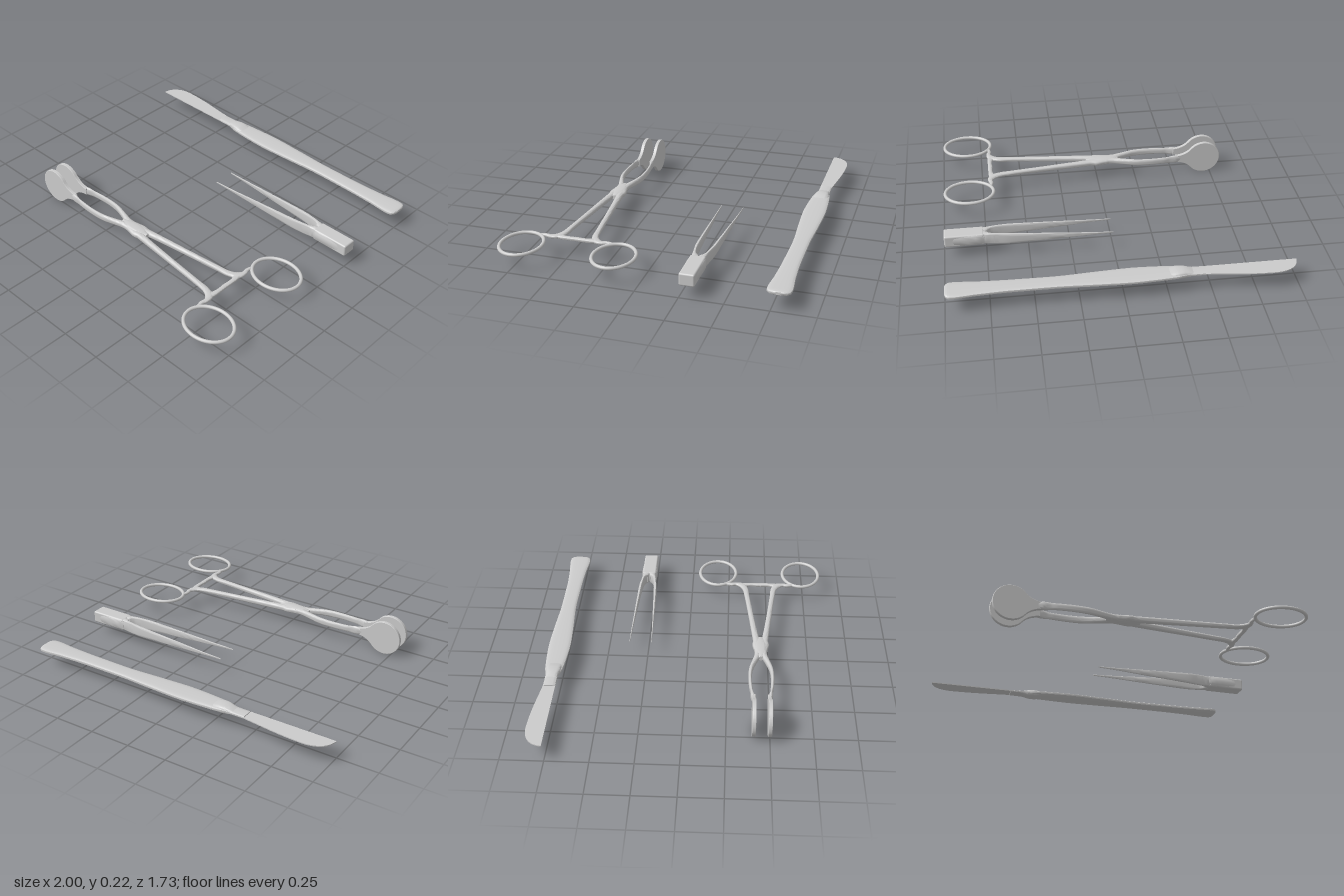
import * as THREE from 'three';
import { toCreasedNormals } from 'three/addons/utils/BufferGeometryUtils.js';
import { RoundedBoxGeometry } from 'three/addons/geometries/RoundedBoxGeometry.js';

const MID = 0.11; // height of the common centre plane
const metal = new THREE.MeshStandardMaterial({ color: 0xcccccc, side: THREE.DoubleSide });

function add(parent, name, geometry) {
  const mesh = new THREE.Mesh(geometry, metal);
  mesh.name = name;
  parent.add(mesh);
  return mesh;
}

// Smooth bar through sections [x, z, half width, half height]; power < 1 makes it boxier
function loft(sections, power = 0.8, steps = 6, sides = 20) {
  const path = new THREE.CatmullRomCurve3(sections.map(s => new THREE.Vector3(s[0], 0, s[1])));
  const size = new THREE.CatmullRomCurve3(sections.map(s => new THREE.Vector3(s[2], s[3], 0)));
  const n = (sections.length - 1) * steps;
  const pos = [], index = [];
  const bend = v => Math.sign(v) * Math.abs(v) ** power;
  for (let i = 0; i <= n; i++) {
    const c = path.getPoint(i / n), t = path.getTangent(i / n), s = size.getPoint(i / n);
    for (let j = 0; j < sides; j++) {
      const a = (j / sides) * Math.PI * 2;
      const u = bend(Math.cos(a)) * s.x, v = bend(Math.sin(a)) * s.y;
      pos.push(c.x - t.z * u, MID + v, c.z + t.x * u);
    }
  }
  const first = pos.length / 3, end = n * sides;
  for (const k of [0, 1]) {
    const c = path.getPoint(k);
    pos.push(c.x, MID, c.z);
  }
  for (let j = 0; j < sides; j++) {
    const k = (j + 1) % sides;
    for (let i = 0; i < n; i++) {
      const a = i * sides + j, b = i * sides + k;
      index.push(a, a + sides, b, b, a + sides, b + sides);
    }
    index.push(first, j, k, first + 1, end + k, end + j);
  }
  const g = new THREE.BufferGeometry();
  g.setAttribute('position', new THREE.Float32BufferAttribute(pos, 3));
  g.setIndex(index);
  return toCreasedNormals(g, 0.7);
}

function createScalpel() {
  const scalpel = new THREE.Group();
  scalpel.name = 'scalpel';

  // Thin blade with a curved belly and a straight back
  const s = new THREE.Shape();
  s.moveTo(-0.36, 0.757);
  s.lineTo(-0.36, 0.828);
  s.lineTo(-0.47, 0.83);
  s.bezierCurveTo(-0.6, 0.845, -0.72, 0.866, -0.86, 0.866);
  s.bezierCurveTo(-0.96, 0.862, -0.995, 0.81, -1, 0.757);
  const blade = new THREE.ExtrudeGeometry(s, { depth: 0.006, bevelEnabled: false, curveSegments: 16 });
  blade.rotateX(-Math.PI / 2).translate(0, MID - 0.003, 0);
  add(scalpel, 'blade', blade);

  // Flat handle that widens at the grip and the butt
  add(scalpel, 'handle', loft([
    [-0.47, -0.793, 0.036, 0.009], [-0.37, -0.793, 0.037, 0.011], [-0.3, -0.79, 0.053, 0.013],
    [-0.18, -0.789, 0.063, 0.013], [-0.05, -0.789, 0.068, 0.013], [0.15, -0.79, 0.06, 0.013],
    [0.4, -0.791, 0.048, 0.013], [0.65, -0.789, 0.05, 0.013], [0.82, -0.789, 0.058, 0.013],
    [0.94, -0.789, 0.069, 0.013], [0.975, -0.789, 0.066, 0.013], [0.992, -0.789, 0.05, 0.011],
    [0.997, -0.789, 0.03, 0.008]], 0.6));

  // Raised collar behind the blade
  add(scalpel, 'collar', loft([
    [-0.4, -0.792, 0.034, 0.008], [-0.36, -0.792, 0.037, 0.019], [-0.33, -0.79, 0.043, 0.023],
    [-0.3, -0.789, 0.046, 0.022], [-0.25, -0.789, 0.046, 0.011]], 0.6));
  return scalpel;
}

function createTweezers() {
  const tweezers = new THREE.Group();
  tweezers.name = 'tweezers';
  const centre = -0.293;
  // [x, outer offset, inner offset, half height]
  const profile = [
    [0, 0.069, 0.066, 0.004], [0.12, 0.068, 0.062, 0.008], [0.3, 0.065, 0.054, 0.018],
    [0.48, 0.062, 0.046, 0.027], [0.62, 0.058, 0.039, 0.034], [0.68, 0.05, 0.033, 0.036],
    [0.72, 0.045, 0.025, 0.036], [0.745, 0.044, 0.01, 0.036], [0.755, 0.044, 0, 0.036],
    [0.99, 0.044, 0, 0.036]];
  for (const side of [-1, 1]) {
    add(tweezers, side > 0 ? 'frontArm' : 'backArm', loft(profile.map(([x, o, i, h]) =>
      [x, centre + side * (o + i) / 2, (o - i) / 2, h]), 0.5));
  }
  // Solid joined end
  const body = new RoundedBoxGeometry(0.235, 0.074, 0.09, 3, 0.01);
  add(tweezers, 'joinedEnd', body).position.set(0.878, MID, centre);
  return tweezers;
}

function createForceps() {
  const forceps = new THREE.Group();
  forceps.name = 'forceps';
  const centre = 0.453;

  // Teardrop jaw plate
  const plate = new THREE.Shape();
  const a = 0.7, r = 0.105;
  plate.absarc(-0.703, 0, r, a, Math.PI * 2 - a, false);
  plate.quadraticCurveTo(-0.585, -0.024, -0.52, -0.02);
  plate.lineTo(-0.52, 0.02);
  plate.quadraticCurveTo(-0.585, 0.024, -0.703 + r * Math.cos(a), r * Math.sin(a));
  const plateGeometry = toCreasedNormals(new THREE.ExtrudeGeometry(plate, {
    depth: 0.014, bevelThickness: 0.004, bevelSize: 0.003, bevelSegments: 2, curveSegments: 48 })
    .translate(0, MID, -0.007), 0.5);

  for (const side of [-1, 1]) {
    const half = new THREE.Group();
    half.name = side > 0 ? 'frontHalf' : 'backHalf';
    forceps.add(half);
    const bar = (name, sections, power) => add(half, name,
      loft(sections.map(([x, z, w, h]) => [x, centre + side * z, w, h]), power));

    add(half, 'jawPlate', plateGeometry).position.z = centre + side * 0.046;
    bar('jawArm', [
      [-0.6, 0.046, 0.007, 0.019], [-0.54, 0.049, 0.009, 0.021], [-0.45, 0.061, 0.009, 0.021],
      [-0.34, 0.067, 0.01, 0.021], [-0.25, 0.06, 0.012, 0.021], [-0.17, 0.038, 0.015, 0.019],
      [-0.11, 0.02, 0.019, 0.018], [-0.04, 0.018, 0.02, 0.018]]);
    // Handle shank curving up into the finger ring
    bar('shank', [
      [-0.06, 0.02, 0.021, 0.018], [0.03, 0.025, 0.021, 0.018], [0.15, 0.039, 0.018, 0.018],
      [0.35, 0.061, 0.016, 0.016], [0.55, 0.083, 0.016, 0.014], [0.64, 0.095, 0.019, 0.012],
      [0.685, 0.118, 0.022, 0.011], [0.7, 0.155, 0.014, 0.01], [0.694, 0.185, 0.012, 0.01],
      [0.698, 0.22, 0.009, 0.009]]);
    // Ratchet arm reaching to the middle
    bar('ratchetArm', [
      [0.682, 0.115, 0.024, 0.01], [0.693, 0.085, 0.016, 0.01],
      [0.696, 0.05, 0.013, 0.01], [0.694, -0.012, 0.014, 0.01]], 0.6);

    const loop = Array.from({ length: 24 }, (_, i) => {
      const t = (i / 24) * Math.PI * 2;
      return new THREE.Vector3(0.835 + 0.151 * Math.cos(t), MID, centre + side * 0.279 + 0.121 * Math.sin(t));
    });
    add(half, 'fingerRing', new THREE.TubeGeometry(new THREE.CatmullRomCurve3(loop, true), 72, 0.0105, 14, true));
  }

  // Box lock where the halves meet
  add(forceps, 'boxLock', loft([
    [-0.14, centre, 0.012, 0.014], [-0.1, centre, 0.034, 0.019], [-0.03, centre, 0.042, 0.021],
    [0.03, centre, 0.036, 0.019], [0.07, centre, 0.016, 0.014]], 0.7));
  return forceps;
}

export function createModel() {
  const model = new THREE.Group();
  model.name = 'surgicalInstruments';
  model.add(createScalpel(), createTweezers(), createForceps());
  return model;
}
